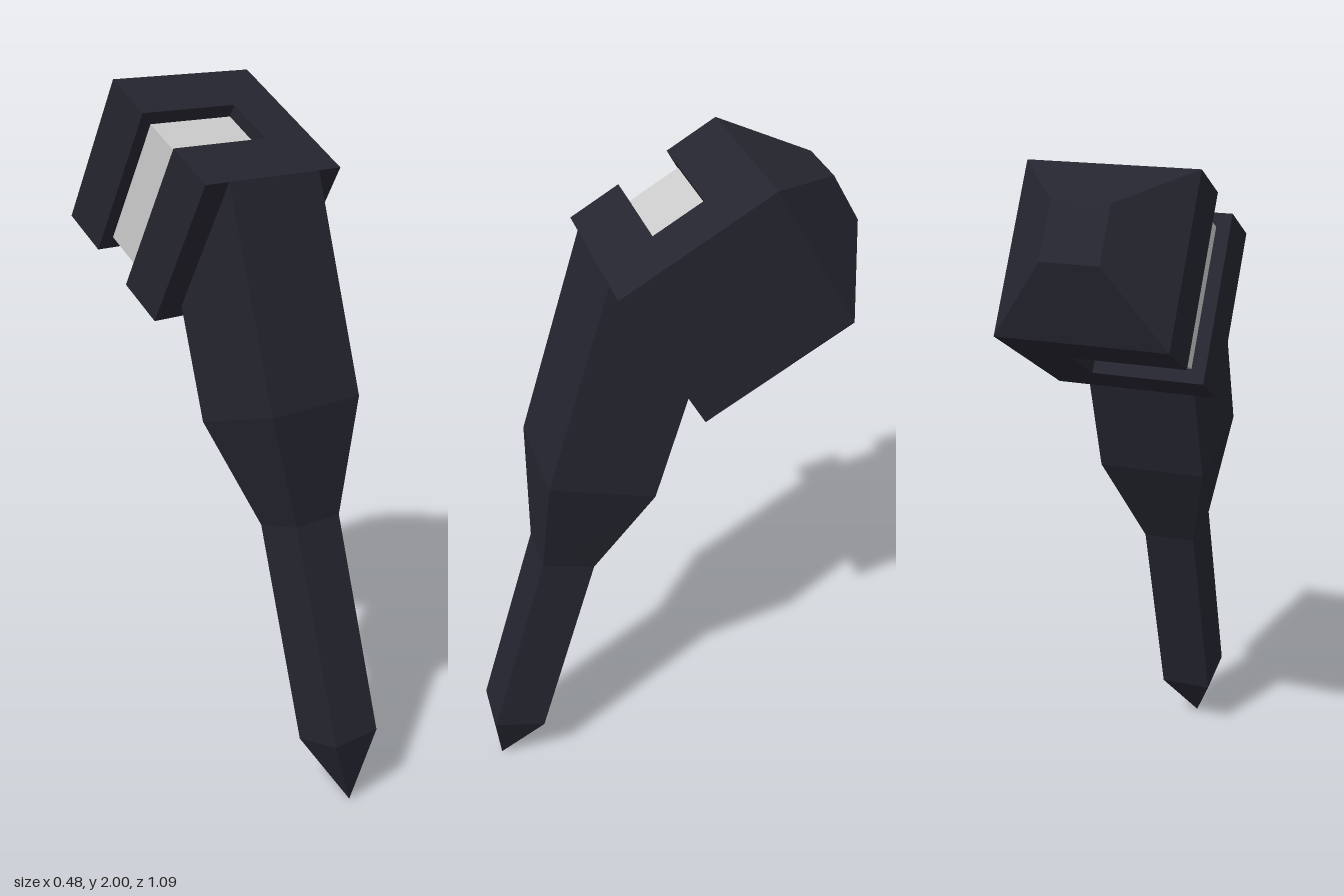
import * as THREE from 'three';

const S = 0.0793; // base module: the head is a cube of six modules

// Four-cornered ring: half width, front [y, z], back [y, z]
const ring = (w, [fy, fz], [by, bz]) => [
  new THREE.Vector3(-w, fy, fz), new THREE.Vector3(w, fy, fz),
  new THREE.Vector3(w, by, bz), new THREE.Vector3(-w, by, bz),
];

// Flat-faced skin through rings listed from bottom to top, closed above
function loft(rings) {
  const pos = [];
  const tri = (a, b, c) => {
    if (new THREE.Triangle(a, b, c).getArea() > 1e-7) pos.push(...a, ...b, ...c);
  };
  const quad = (a, b, c, d) => { tri(a, b, c); tri(a, c, d); };
  for (let i = 0; i < rings.length - 1; i++) {
    for (let j = 0; j < 4; j++) {
      const k = (j + 1) % 4;
      quad(rings[i][j], rings[i][k], rings[i + 1][k], rings[i + 1][j]);
    }
  }
  quad(...rings[rings.length - 1]);
  const g = new THREE.BufferGeometry();
  g.setAttribute('position', new THREE.Float32BufferAttribute(pos, 3));
  g.computeVertexNormals();
  return g;
}

export function createModel() {
  const dark = new THREE.MeshStandardMaterial({ name: 'darkMetal', color: 0x252530 });
  const light = new THREE.MeshStandardMaterial({ name: 'lightInsert', color: 0xcccccc });
  const model = new THREE.Group();
  model.name = 'model';
  const add = (parent, name, geometry, material) => {
    const mesh = new THREE.Mesh(geometry, material);
    mesh.name = name;
    parent.add(mesh);
    return mesh;
  };

  // Bent leg: pointed tip, thin shaft, flare, wide shaft cut to meet the head
  add(model, 'leg', loft([
    ring(0, [0, 0.522], [0, 0.522]),
    ring(S, [0.21, 0.544], [0.168, 0.391]),
    ring(S, [0.822, 0.364], [0.781, 0.211]),
    ring(2 * S, [1.155, 0.35], [1.065, 0.045]),
    ring(2 * S, [1.762, 0.167], [1.385, -0.05]),
  ]), dark);

  // Tilted head: local y runs backward and up, local z out of the upper face
  const head = new THREE.Group();
  head.name = 'head';
  head.position.set(0, 1.762, 0.167);
  head.rotation.x = -Math.PI / 3;
  model.add(head);

  // Block with a slot open at one side and at both ends
  const outline = [[-3, 0], [3, 0], [3, 6], [-3, 6], [-3, 4], [1, 4], [1, 2], [-3, 2]];
  const block = new THREE.ExtrudeGeometry(
    new THREE.Shape(outline.map(([x, y]) => new THREE.Vector2(x * S, y * S))),
    { depth: 6 * S, bevelEnabled: false });
  block.translate(0, 0, -6 * S);
  add(head, 'headBlock', block, dark);

  // Tapered rear cap
  add(head, 'headCap', loft([
    ring(3 * S, [6 * S, 0], [6 * S, -6 * S]),
    ring(S, [8 * S, -2 * S], [8 * S, -4 * S]),
  ]), dark);

  // Recessed insert filling the slot
  add(head, 'slotInsert', new THREE.BoxGeometry(3.5 * S, 2 * S, 5 * S), light)
    .position.set(-0.75 * S, 3 * S, -3 * S);

  return model;
}
